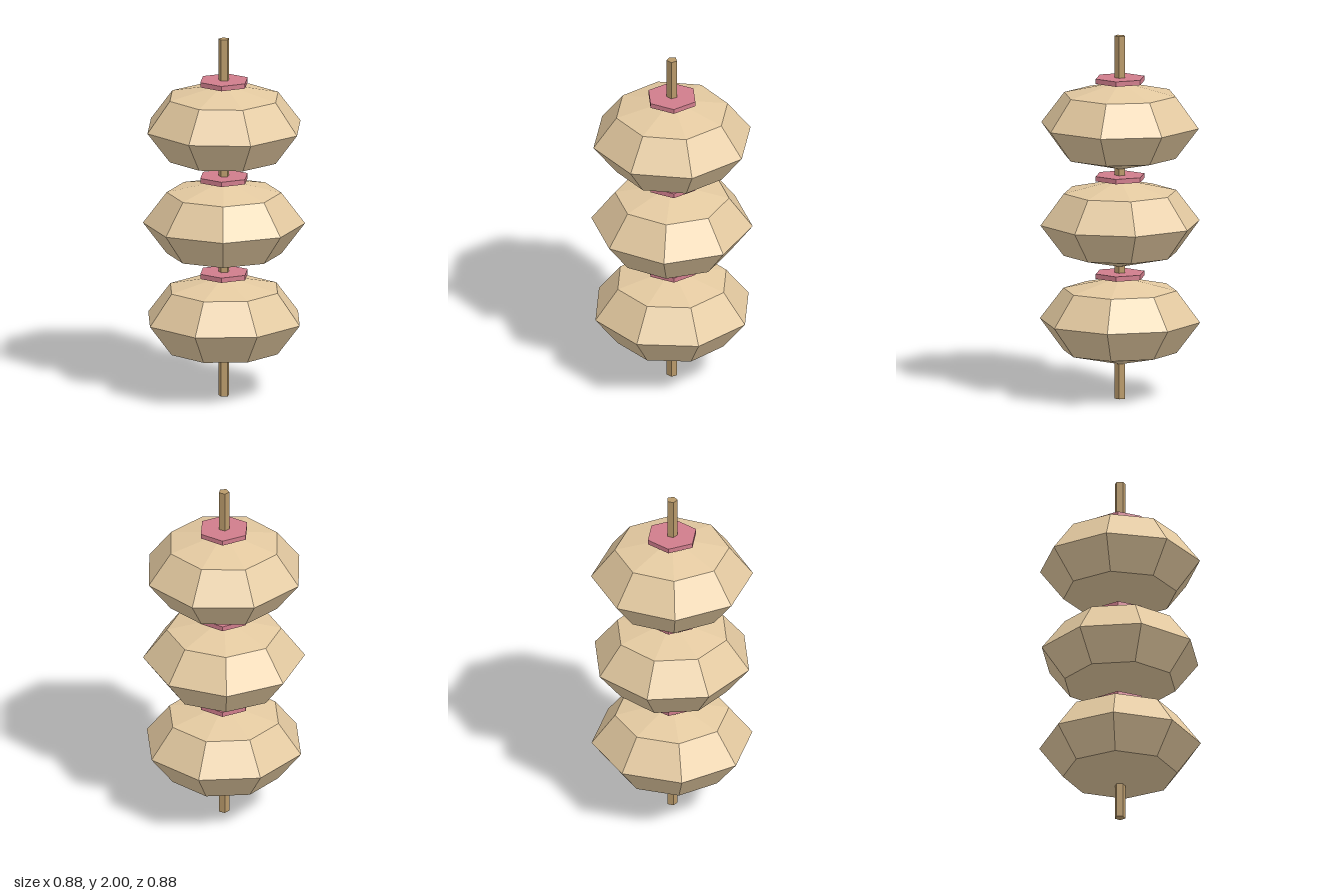
import * as THREE from 'three';

const material = (color) => new THREE.MeshStandardMaterial({ color, flatShading: true });

export function createModel() {
  const group = new THREE.Group();
  const dough = material(0xe3c9a0);
  const wood = material(0xb8996a);
  const pink = material(0xd07d8c);

  const add = (name, geometry, mat, y, turn = 0) => {
    const mesh = new THREE.Mesh(geometry, mat);
    mesh.name = name;
    mesh.position.y = y;
    mesh.rotation.y = turn;
    group.add(mesh);
  };

  // five-sided stick running through everything, one corner towards +x
  add('stick', new THREE.CylinderGeometry(0.03, 0.03, 2, 5), wood, 1, Math.PI / 2);

  // squashed balls, each turned a little further, with a hexagonal disc on top
  const ball = new THREE.SphereGeometry(0.44, 8, 4).scale(1, 0.55, 1);
  const disc = new THREE.CylinderGeometry(0.141, 0.141, 0.027, 6);
  for (let i = 0; i < 3; i++) {
    const y = 0.43 + i * 0.5375;
    add(`ball${i + 1}`, ball, dough, y, i * 0.35);
    add(`disc${i + 1}`, disc, pink, y + 0.251, Math.PI / 2);
  }
  return group;
}
